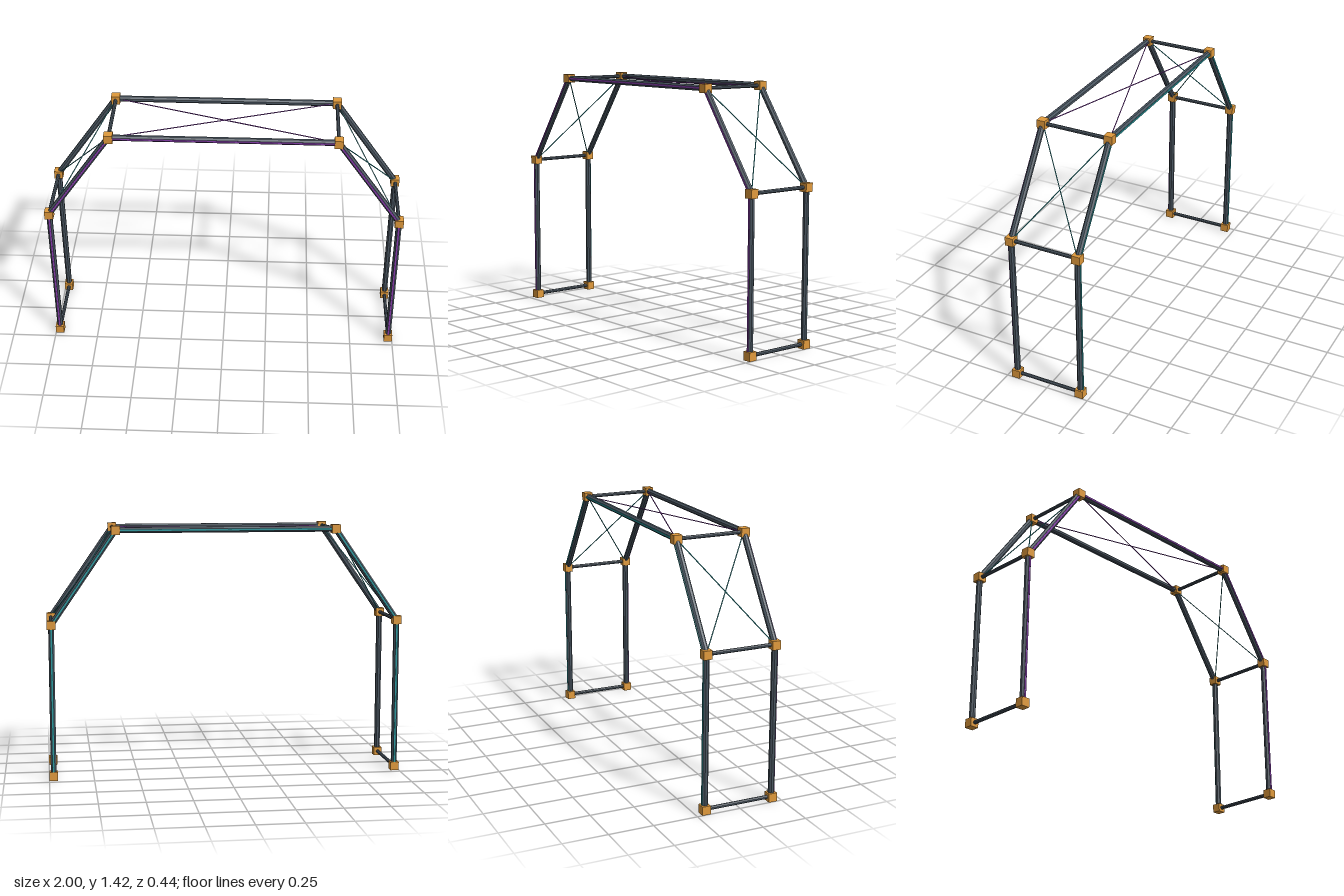
import * as THREE from 'three';

const mat = (color, flat = true) => {
  const m = new THREE.MeshStandardMaterial({ flatShading: flat });
  m.color.set(color);
  return m;
};

export function createModel() {
  const model = new THREE.Group();
  const steel = mat(0x4a5661), amber = mat(0xe09a3c);
  const purple = mat(0x8a3fb0), teal = mat(0x2a9aa0);
  const up = new THREE.Vector3(0, 1, 0);
  const Z = 0.197;

  // Lays a y-aligned geometry of the given length between two points
  function span(name, a, b, material, makeGeometry) {
    const dir = b.clone().sub(a);
    const mesh = new THREE.Mesh(makeGeometry(dir.length()), material);
    mesh.name = name;
    mesh.position.copy(a).add(b).multiplyScalar(0.5);
    mesh.quaternion.setFromUnitVectors(up, dir.normalize());
    model.add(mesh);
  }
  const rod = (radius, sides) => (length) =>
    new THREE.CylinderGeometry(radius, radius, length, sides).rotateY(Math.PI / sides);
  const strip = (length) => new THREE.BoxGeometry(0.01, length, 0.006);

  // Arch outline, from one foot over the top to the other
  const outline = [
    [-0.976, 0.024], [-0.976, 0.873], [-0.617, 1.392],
    [0.617, 1.392], [0.976, 0.873], [0.976, 0.024],
  ];
  const at = (i, z) => new THREE.Vector3(outline[i][0], outline[i][1], z);

  // Front and back frames: joint blocks, beams and light strips on the outer face
  for (const side of [1, -1]) {
    const z = side * Z;
    outline.forEach((_, i) => {
      const joint = new THREE.Mesh(new THREE.BoxGeometry(0.048, 0.048, 0.048), amber);
      joint.name = 'jointBlock';
      joint.position.copy(at(i, z));
      model.add(joint);
      if (i === 0) return;
      span('frameBeam', at(i - 1, z), at(i, z), steel, rod(0.017, 8));
      const zs = z + side * 0.0155;
      span('lightStrip', at(i - 1, zs), at(i, zs), side > 0 ? purple : teal, strip);
    });
  }

  // Crossbars joining the two frames
  outline.forEach((_, i) => span('crossbar', at(i, -Z), at(i, Z), steel, rod(0.0105, 8)));

  // Crossed bracing cables on the roof and both slopes
  for (const [i, material] of [[1, teal], [2, purple], [3, teal]]) {
    for (const s of [1, -1]) {
      span('braceCable', at(i, -s * Z), at(i + 1, s * Z), material, rod(0.003, 6));
    }
  }
  return model;
}
